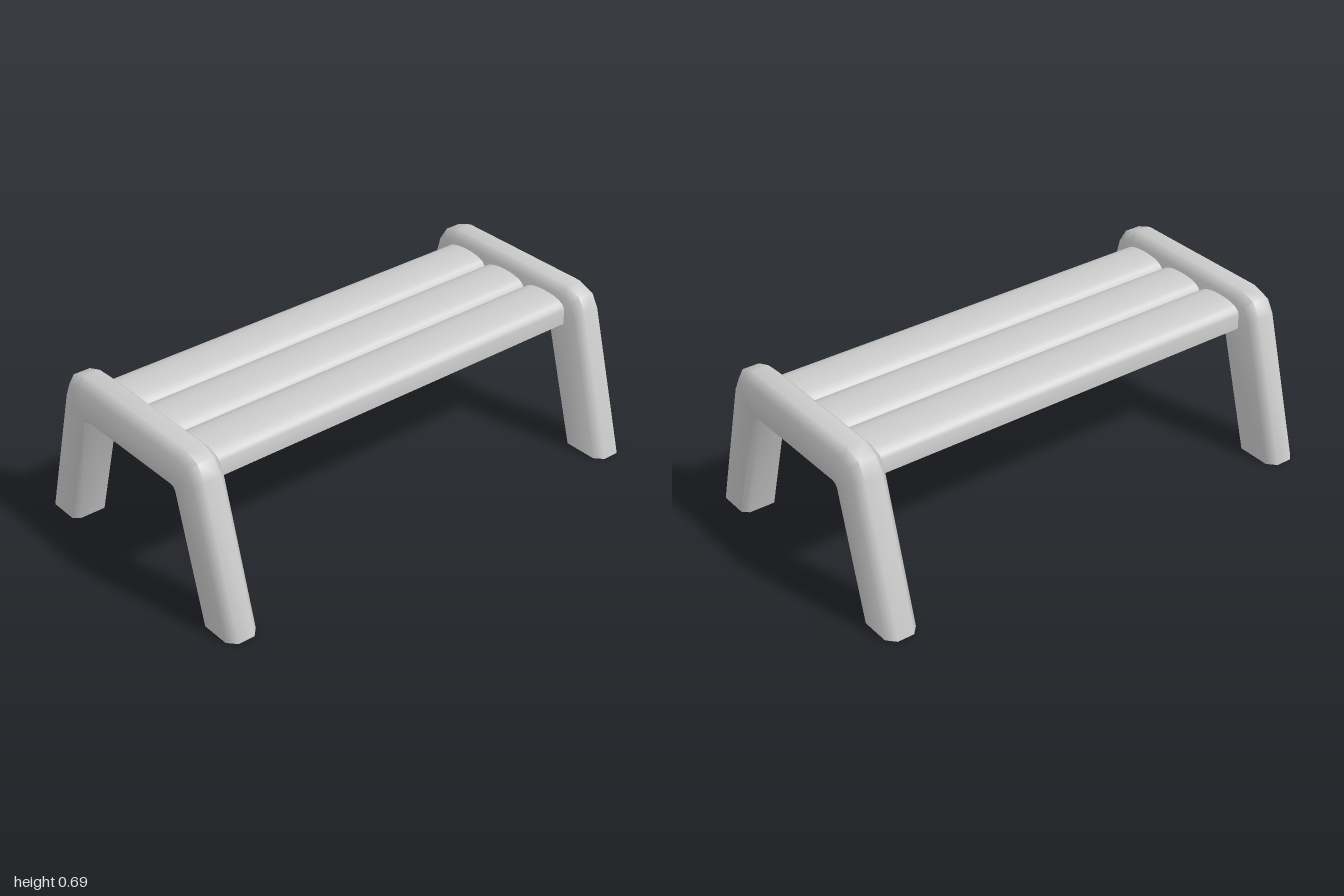
import * as THREE from 'three';
import { toCreasedNormals } from 'three/addons/utils/BufferGeometryUtils.js';

const CREASE = 0.87;

// One bent end frame: a chamfered section swept from the front foot to the back foot.
function frameGeometry(side) {
  // Outer z, outer y, inner z, inner y along the front half
  const half = [
    [0.595, 0, 0.415, 0],
    [0.427, 0.603, 0.273, 0.5],
    [0.39, 0.663, 0.268, 0.508],
    [0.32, 0.688, 0.26, 0.51],
  ];
  const back = half.map(([a, b, c, d]) => [-a, b, -c, d]).reverse();
  const stations = [...half, ...back];

  const position = [];
  for (const [oz, oy, iz, iy] of stations) {
    const len = Math.hypot(oz - iz, oy - iy);
    // Section: x, distance inward from the outer edge
    const ring = [
      [0.865, 0.035], [0.897, 0], [0.968, 0], [1, 0.035],
      [1, len - 0.022], [0.975, len], [0.865, len],
    ];
    for (const [x, d] of ring) {
      const t = d / len;
      position.push(side * x, oy + (iy - oy) * t, oz + (iz - oz) * t);
    }
  }

  const n = 7;
  const index = [];
  const tri = (a, b, c) => (side > 0 ? index.push(a, b, c) : index.push(a, c, b));
  for (let i = 0; i < stations.length - 1; i++) {
    for (let j = 0; j < n; j++) {
      const a = i * n + j;
      const b = i * n + (j + 1) % n;
      tri(a, b, b + n);
      tri(a, b + n, a + n);
    }
  }
  // Flat soles of the two feet
  const last = (stations.length - 1) * n;
  for (let k = 1; k < n - 1; k++) {
    tri(0, k + 1, k);
    tri(last, last + k, last + k + 1);
  }

  const geometry = new THREE.BufferGeometry();
  geometry.setAttribute('position', new THREE.Float32BufferAttribute(position, 3));
  geometry.setIndex(index);
  return toCreasedNormals(geometry, CREASE);
}

// A seat slat: flat underside, upright edges and a softly domed top.
function slatGeometry() {
  const w = 0.115;
  const length = 1.74;
  const shape = new THREE.Shape();
  shape.moveTo(-w, 0.535);
  shape.lineTo(w, 0.535);
  shape.lineTo(w, 0.597);
  shape.bezierCurveTo(w - 0.005, 0.63, 0.06, 0.641, 0, 0.641);
  shape.bezierCurveTo(-0.06, 0.641, -w + 0.005, 0.63, -w, 0.597);
  shape.closePath();
  const geometry = new THREE.ExtrudeGeometry(shape, {
    depth: length, bevelEnabled: false, curveSegments: 6,
  });
  geometry.translate(0, 0, -length / 2);
  geometry.rotateY(Math.PI / 2);
  return toCreasedNormals(geometry, CREASE);
}

export function createModel() {
  const bench = new THREE.Group();
  bench.name = 'bench';
  const material = new THREE.MeshStandardMaterial({ color: 0xcccccc });

  // End frames
  for (const side of [-1, 1]) {
    const frame = new THREE.Mesh(frameGeometry(side), material);
    frame.name = side > 0 ? 'leftEndFrame' : 'rightEndFrame';
    bench.add(frame);
  }

  // Three slats side by side
  const seat = new THREE.Group();
  seat.name = 'seat';
  const slat = slatGeometry();
  ['backSlat', 'middleSlat', 'frontSlat'].forEach((name, i) => {
    const mesh = new THREE.Mesh(slat, material);
    mesh.name = name;
    mesh.position.z = (i - 1) * 0.23;
    seat.add(mesh);
  });
  bench.add(seat);

  return bench;
}
